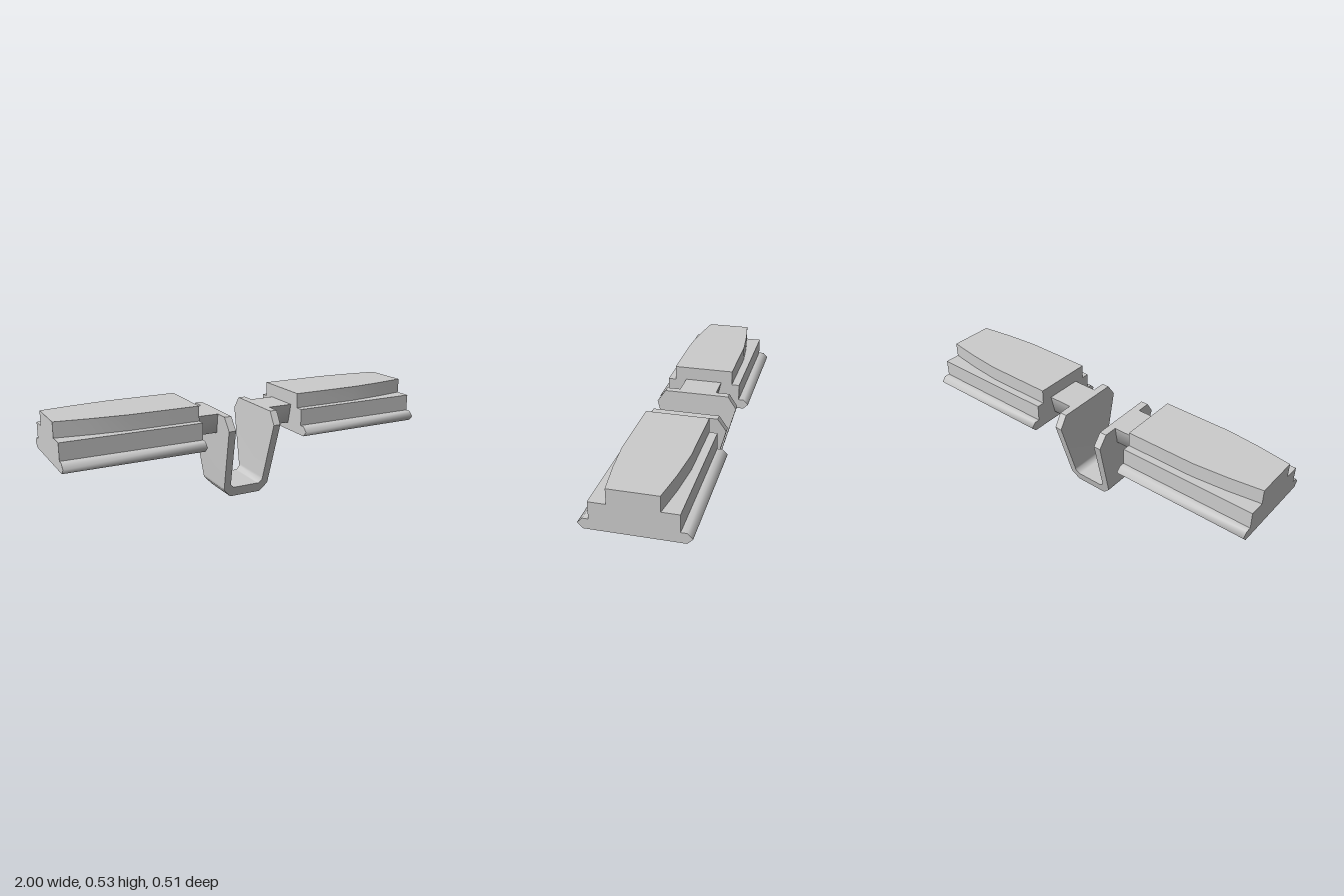
import * as THREE from 'three';
import { toCreasedNormals } from 'three/addons/utils/BufferGeometryUtils.js';

const material = new THREE.MeshStandardMaterial({ color: 0xcccccc });

function addMesh(parent, name, geometry) {
  const mesh = new THREE.Mesh(geometry, material);
  mesh.name = name;
  parent.add(mesh);
}

// Closed shape from one half, mirrored in its second coordinate
function mirroredShape(half) {
  const other = half.map(([a, b]) => [a, -b]).reverse();
  return new THREE.Shape([...half, ...other].map(([a, b]) => new THREE.Vector2(a, b)));
}

// Profile of [height, half width] points, extruded from x0 to x1
function barAlongX(half, x0, x1, crease) {
  const geo = new THREE.ExtrudeGeometry(mirroredShape(half), { depth: x1 - x0, bevelEnabled: false });
  // Turn (height, width, depth) into (y, z, x)
  geo.applyMatrix4(new THREE.Matrix4().set(
    0, 0, 1, x0,
    1, 0, 0, 0,
    0, 1, 0, 0,
    0, 0, 0, 1));
  return toCreasedNormals(geo, crease);
}

// Bent strap: U-shaped cross-section whose width in z follows the height
function bracketGeometry() {
  const halfWidth = (y) => (y <= 0.39 ? 0.11 + y * 0.277 : 0.218 - (y - 0.39) * 0.68);
  // Outer and inner edge of the strap, from the top of the left arm to the floor;
  // close pairs keep the soft shading at the bends
  const side = [
    [[0.152, 0.456], [0.113, 0.456]],
    [[0.149, 0.39], [0.11, 0.39]],
    [[0.131, 0.06], [0.095, 0.085]],
    [[0.13, 0.045], [0.094, 0.072]],
    [[0.088, 0], [0.075, 0.053]],
    [[0.075, 0], [0.065, 0.053]],
  ];
  const stations = [...side, ...side.map((s) => s.map(([x, y]) => [-x, y])).reverse()];
  const rings = stations.map(([o, i]) => {
    const wo = halfWidth(o[1]), wi = halfWidth(i[1]);
    return [[...o, wo], [...o, -wo], [...i, -wi], [...i, wi]];
  });
  const pos = [];
  const quad = (a, b, c, d) => pos.push(...a, ...b, ...c, ...a, ...c, ...d);
  for (let k = 0; k < rings.length - 1; k++) {
    for (let j = 0; j < 4; j++) {
      const n = (j + 1) % 4;
      quad(rings[k][j], rings[k + 1][j], rings[k + 1][n], rings[k][n]);
    }
  }
  // Top ends of both arms
  const last = rings[rings.length - 1];
  quad(...rings[0]);
  quad(last[3], last[2], last[1], last[0]);
  const geo = new THREE.BufferGeometry();
  geo.setAttribute('position', new THREE.Float32BufferAttribute(pos, 3));
  return toCreasedNormals(geo, 0.85);
}

// One foot block with its stub shaft, pointing to +x
function blockGroup() {
  const group = new THREE.Group();

  // Shaft tapering downwards
  addMesh(group, 'shaft', barAlongX([[0.456, 0.1], [0.35, 0.075]], 0.135, 0.295, 1.4));

  // Stepped base with a softly shaded lip along both long edges
  const base = [[0.45, 0.201], [0.363, 0.201], [0.363, 0.229], [0.337, 0.254], [0.311, 0.229], [0.311, 0.215]];
  addMesh(group, 'blockBase', barAlongX(base, 0.285, 1, 1.55));

  // Upper pad, narrowing towards its outer end
  const outline = mirroredShape([[0.285, 0.16], [0.65, 0.16], [0.83, 0.143], [1, 0.118]]);
  const pad = new THREE.ExtrudeGeometry(outline, { depth: 0.077, bevelEnabled: false });
  pad.rotateX(-Math.PI / 2).translate(0, 0.45, 0);
  addMesh(group, 'blockPad', toCreasedNormals(pad, 0.3));
  return group;
}

export function createModel() {
  const model = new THREE.Group();
  model.name = 'model';
  addMesh(model, 'bracket', bracketGeometry());
  for (const [name, angle] of [['leftBlock', 0], ['rightBlock', Math.PI]]) {
    const part = blockGroup();
    part.name = name;
    part.rotation.y = angle;
    model.add(part);
  }
  return model;
}
